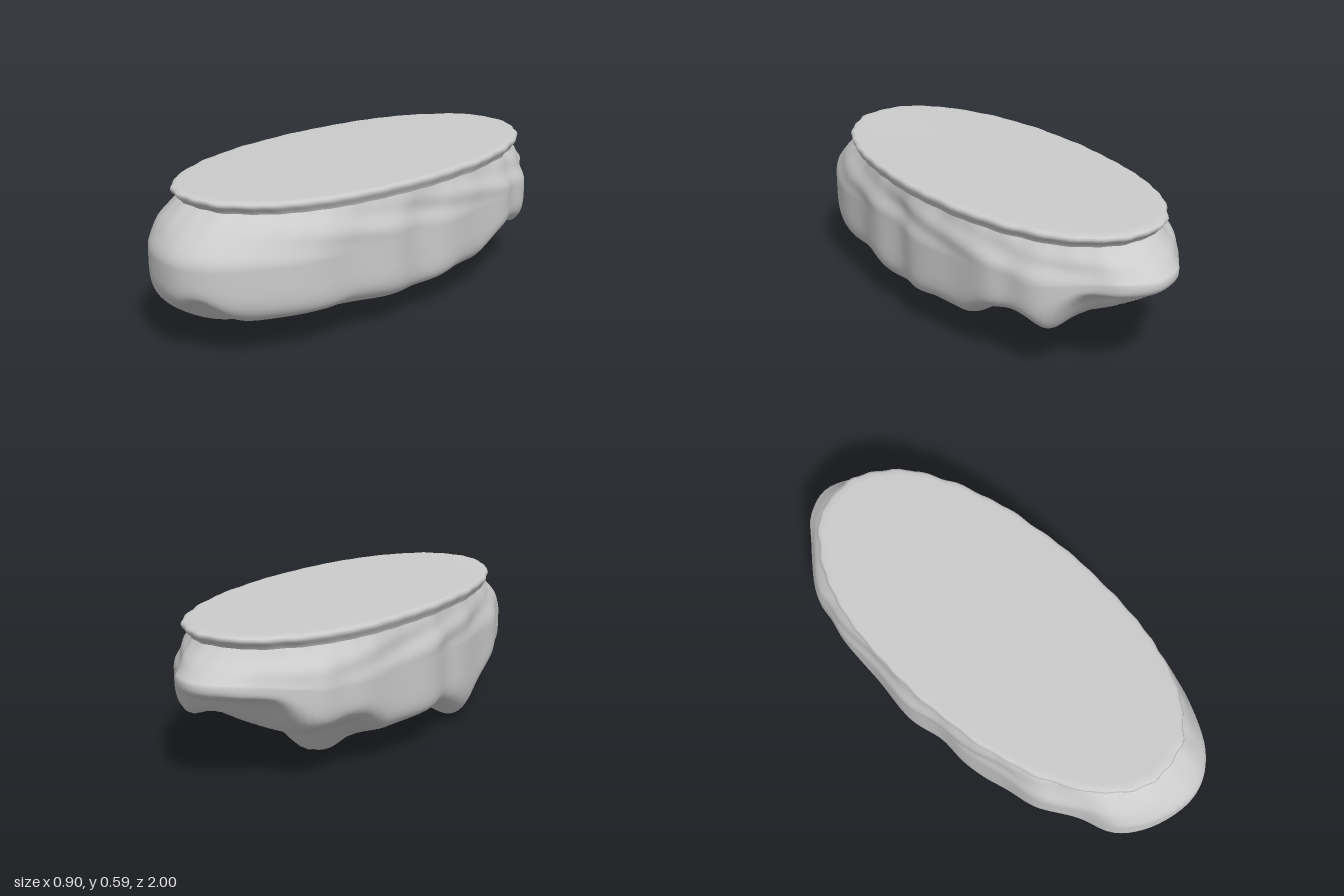
import * as THREE from 'three';

const N = 160;

// Widest outline of the rock, seen from above (x, z)
const outline = new THREE.CatmullRomCurve3([
  [0, -1], [0.12, -0.95], [0.2, -0.85], [0.34, -0.7], [0.37, -0.58], [0.405, -0.5],
  [0.42, -0.3], [0.45, -0.07], [0.425, 0.07], [0.44, 0.22], [0.405, 0.4], [0.39, 0.58],
  [0.33, 0.75], [0.21, 0.93], [0.07, 1], [-0.12, 0.96], [-0.25, 0.86], [-0.3, 0.73],
  [-0.385, 0.56], [-0.4, 0.4], [-0.43, 0.2], [-0.425, 0.08], [-0.45, -0.08],
  [-0.42, -0.3], [-0.405, -0.5], [-0.375, -0.6], [-0.35, -0.7], [-0.2, -0.88], [-0.12, -0.96],
].map(([x, z]) => new THREE.Vector3(x, 0, z)), true).getSpacedPoints(N).slice(0, N);

// Hanging lobes and hollows: x, z, radius x, radius z, change of height
const lobes = [
  [-0.03, 0.74, 0.22, 0.18, -0.055],
  [-0.34, 0.68, 0.12, 0.18, 0.1],
  [0.13, 0.92, 0.07, 0.09, 0.07],
  [-0.33, 0.3, 0.15, 0.13, -0.105],
  [-0.06, -0.36, 0.16, 0.2, -0.138],
  [0.08, 0.0, 0.15, 0.25, -0.055],
  [0.28, 0.1, 0.13, 0.25, -0.02],
  [0.28, -0.71, 0.08, 0.06, -0.06],
  [-0.25, -0.69, 0.13, 0.1, -0.04],
  [-0.12, 0.42, 0.07, 0.13, 0.03],
  [0.14, 0.47, 0.1, 0.14, 0.02],
  [-0.28, -0.02, 0.1, 0.12, 0.04],
  [0.22, -0.38, 0.07, 0.12, 0.03],
];

const smooth = THREE.MathUtils.smoothstep;

// Height of the underside: stepped up towards the back, with lobes and creases
function underside(x, z) {
  let y = 0.115 + 0.075 * smooth(-z, 0.3, 0.5) + 0.115 * smooth(-z, 0.72, 0.84);
  for (const [cx, cz, rx, rz, d] of lobes) {
    y += d * Math.exp(-(((x - cx) / rx) ** 2) - ((z - cz) / rz) ** 2);
  }
  return y - 0.015 * (Math.abs(Math.sin(9 * x + 6 * z + 0.4)) - 0.64);
}

// Point of the slab's ragged rim in the direction of an outline point
function rim(p) {
  const k = (Math.abs(p.x / 0.428) ** 2.15 + Math.abs(p.z / 0.885) ** 2.15) ** (-1 / 2.15);
  const wobble = 1 + 0.009 * Math.sin(p.z * 31 + p.x * 17) * Math.sin(p.z * 14 - p.x * 40);
  return new THREE.Vector3(p.x * k * wobble, 0, p.z * k * wobble - 0.012);
}

const topHeight = (x, z) => 0.576 + 0.013 * z + 0.006 * Math.cos(5 * x) * z * z;

// Smooth skin through rows of N points, running inside-top to bottom
function skin(rows) {
  const index = [];
  for (let j = 0; j < rows.length - 1; j++) {
    for (let i = 0; i < N; i++) {
      const a = j * N + i, b = j * N + (i + 1) % N;
      index.push(a, b, a + N, b, b + N, a + N);
    }
  }
  const geometry = new THREE.BufferGeometry().setFromPoints(rows.flat());
  geometry.setIndex(index);
  geometry.computeVertexNormals();
  return geometry;
}

export function createModel() {
  const group = new THREE.Group();
  const material = new THREE.MeshStandardMaterial({ color: 0xcccccc, roughness: 0.9 });
  const add = (name, geometry) => {
    const mesh = new THREE.Mesh(geometry, material);
    mesh.name = name;
    group.add(mesh);
  };
  const rims = outline.map(rim);

  // Flat top with a thin overhanging lip: scale of rim, drop below the top
  const slabProfile = [[0, 0], [0.3, 0], [0.6, 0], [0.85, 0], [0.95, 0], [0.98, 0.001], [0.995, 0.007],
    [1, 0.016], [0.992, 0.026], [0.978, 0.036], [0.966, 0.048], [0.958, 0.062]];
  add('topSlab', skin(slabProfile.map(([s, drop]) => rims.map((r) =>
    new THREE.Vector3(r.x * s, topHeight(r.x * s, r.z * s) - drop, r.z * s)))));

  // Rock flanks: from the neck under the lip out to the widest outline
  const rows = [];
  const STEPS = 18;
  const bulgeHeight = (p) => 0.36 + 0.045 * smooth(-p.z, 0.6, 1);
  for (let j = 0; j <= STEPS; j++) {
    const t = j / STEPS;
    rows.push(outline.map((p, i) => {
      const r = rims[i];
      const start = topHeight(r.x, r.z) - 0.05;
      // The back end flares straight out to a point, the rest rounds over
      const flare = THREE.MathUtils.lerp(Math.sin(t * Math.PI / 2), t, smooth(-p.z, 0.6, 1));
      const q = r.clone().multiplyScalar(0.964).lerp(p, flare);
      const dent = 1 + 0.02 * (1 - 0.8 * p.z * p.z) * Math.sin(t * Math.PI) ** 2
        * Math.sin(8 * p.z + 4 * p.x + 5 * t);
      return q.multiplyScalar(dent).setY(THREE.MathUtils.lerp(start, bulgeHeight(p), t));
    }));
  }

  // Lumpy underside: curls in from the widest outline to the middle
  const INNER = 56;
  for (let j = 1; j <= INNER; j++) {
    const u = j / INNER;
    const s = 1 - u ** 1.9;
    rows.push(outline.map((p) => {
      const e = 3.6 + 0.9 * smooth(p.z, 0, 1) + 4 * (1 - Math.abs(p.z));
      const x = p.x * s, z = p.z * s;
      const depth = (1 - s ** e) ** (1 / e);
      const y = THREE.MathUtils.lerp(bulgeHeight(p), underside(x, z), depth);
      return new THREE.Vector3(x, Math.max(y, 0), z);
    }));
  }
  add('rockBody', skin(rows));
  return group;
}
